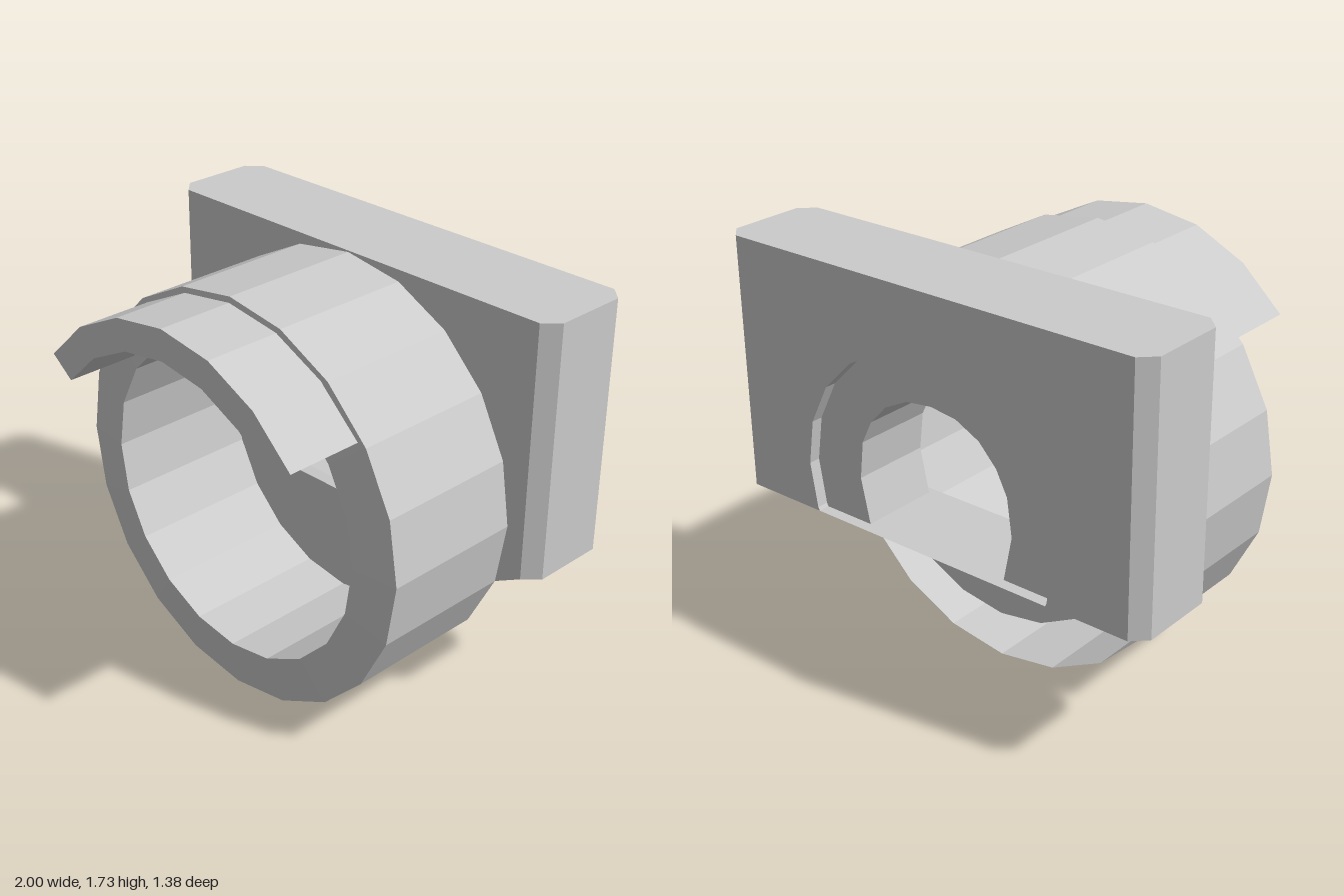
import * as THREE from 'three';

const CY = 0.862;          // height of the ring axis
const STEP = Math.PI / 10; // 20-sided circles with a vertex at the top
const FLOOR = 0.66;

const material = new THREE.MeshStandardMaterial({
  color: 0xcccccc, flatShading: true, side: THREE.DoubleSide,
});

// Counter-clockwise arc through the top, from +angle (on +x) to -angle, in [x, y] points
function arc(r, angle, segments) {
  return Array.from({ length: segments + 1 }, (_, i) => {
    const a = angle - (2 * angle * i) / segments;
    return [r * Math.sin(a), CY + r * Math.cos(a)];
  });
}
const circle = (r) => arc(r, Math.PI, 20).slice(0, 20);

// Arch: the upper part of a 20-sided circle, cut level at height y
function arch(r, y) {
  const [a, b] = [arc(r, 6 * STEP, 12), arc(r, 7 * STEP, 14)];
  const t = (a[0][1] - y) / (a[0][1] - b[0][1]);
  const x = a[0][0] + (b[0][0] - a[0][0]) * t;
  return [[x, y], ...a, [-x, y]];
}

const atZ = (points, z) => points.map(([x, y]) => [x, y, z]);

// Surface joining successive rows of 3D points
function skin(rows, closed = true) {
  const n = rows[0].length, index = [];
  for (let r = 0; r < rows.length - 1; r++) {
    for (let i = 0; i < (closed ? n : n - 1); i++) {
      const a = r * n + i, b = r * n + ((i + 1) % n);
      index.push(a, b, b + n, a, b + n, a + n);
    }
  }
  const g = new THREE.BufferGeometry();
  g.setAttribute('position', new THREE.Float32BufferAttribute(rows.flat(2), 3));
  g.setIndex(index);
  g.computeVertexNormals();
  return g;
}

// Flat face at depth z, facing front or back
function face(points, z, { hole = null, back = false } = {}) {
  const toVec = (p) => p.map(([x, y]) => new THREE.Vector2(x, y));
  const shape = new THREE.Shape(toVec(points));
  if (hole) shape.holes.push(new THREE.Path(toVec(hole)));
  const g = new THREE.ShapeGeometry(shape).translate(0, 0, z);
  if (back) {
    g.index.array.reverse();
    g.computeVertexNormals();
  }
  return g;
}

export function createModel() {
  const model = new THREE.Group();
  const group = (name) => {
    const g = new THREE.Group();
    g.name = name;
    model.add(g);
    return g;
  };
  const add = (parent, name, geometry) => {
    const mesh = new THREE.Mesh(geometry, material);
    mesh.name = name;
    parent.add(mesh);
  };

  // Round collar: outer wall, slightly conical front rim and inner wall, open behind
  const outer = circle(0.862), inner = circle(0.665);
  const zBack = -0.255;
  const collar = group('collar');
  add(collar, 'collarWall', skin([
    atZ(outer, zBack), atZ(outer, 0.36), atZ(inner, 0.385), atZ(inner, zBack),
  ]));
  const mouth = arch(0.61, 0.65);
  add(collar, 'collarEndWall', face(inner, zBack, { hole: mouth }));

  // Curved lip standing out from the top of the collar
  const lip = group('lip');
  const lipOuter = arc(0.838, 0.907, 6), lipInner = arc(0.71, 0.907, 6).reverse();
  const lipOutline = [...lipOuter, ...lipInner];
  add(lip, 'lipWalls', skin([atZ(lipOutline, 0.36), atZ(lipOutline, 0.688)]));
  add(lip, 'lipFront', face(lipOutline, 0.688));
  add(lip, 'lipBack', face(lipOutline, 0.36, { back: true }));

  // Passage: shallow arched recess at each end of a narrower arched tunnel
  const passage = group('passage');
  const recess = arch(0.61, FLOOR);
  const half = [[0.34, FLOOR], [0.38, 0.85], [0.36, 1.01], [0.31, 1.11], [0.23, 1.195], [0.12, 1.25]];
  const tunnel = [...half, [0, 1.265], ...half.map(([x, y]) => [-x, y]).reverse()];
  const recessWall = [...recess, ...[...tunnel].reverse()];
  add(passage, 'frontRecess', skin([atZ(mouth, zBack), atZ(recess, -0.3)]));
  add(passage, 'frontRecessWall', face(recessWall, -0.3));
  add(passage, 'tunnel', skin([atZ(tunnel, -0.3), atZ(tunnel, -0.64)]));
  add(passage, 'backRecessWall', face(recessWall, -0.64, { back: true }));
  add(passage, 'backRecess', skin([atZ(recess, -0.64), atZ(recess, -0.688)]));

  // Mounting plate: bevelled shell, open at the bottom
  const plate = group('plate');
  const top = 1.73;
  const side = [[0.94, zBack], [1, -0.315], [1, -0.63], [0.94, -0.688]];
  const otherSide = side.map(([x, z]) => [-x, z]).reverse();
  for (const [name, path] of [['plateLeftSide', side], ['plateRightSide', otherSide]]) {
    const row = (y) => path.map(([x, z]) => [x, y, z]);
    add(plate, name, skin([row(FLOOR), row(top)], false));
  }
  const topOutline = [...side, ...otherSide].map(([x, z]) => [x, -z]);
  add(plate, 'plateTop', face(topOutline, 0).rotateX(-Math.PI / 2).translate(0, top, 0));
  const corners = [[0.94, FLOOR], [0.94, top], [-0.94, top], [-0.94, FLOOR]];
  // The front is cut around the collar, the back around the recess
  add(plate, 'plateFront', face([...corners, ...arc(0.862, 6 * STEP, 12).reverse()], zBack));
  add(plate, 'plateBack', face([...corners, ...[...recess].reverse()], -0.688, { back: true }));

  return model;
}
